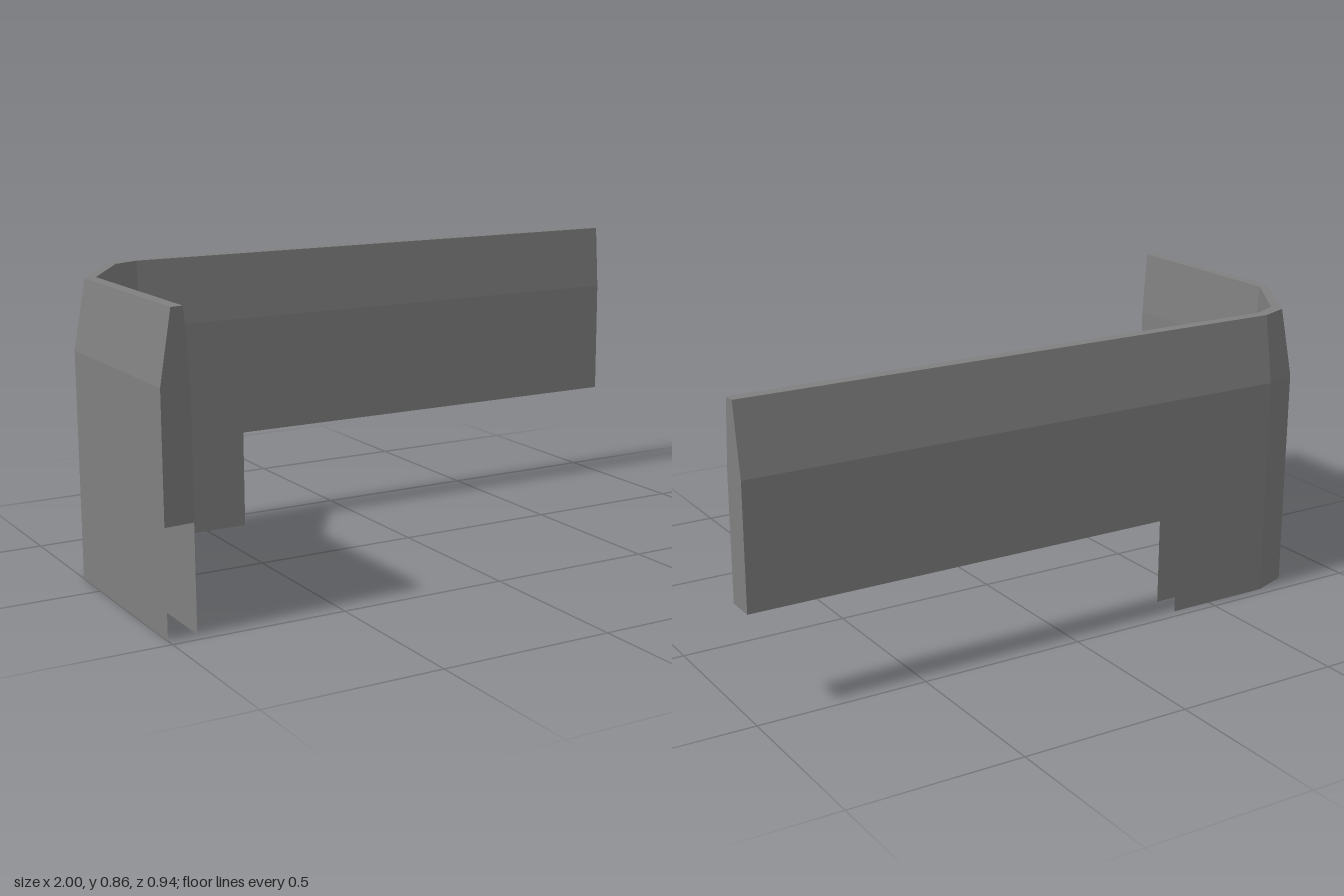
import * as THREE from 'three';

const BASE = 0, STEP = 0.3, BEND = 0.66, TOP = 0.86;
const NOTCH = 4; // station where the lower skirt ends

// Plan stations [x, z] from the front tip, round the corner, to the far end
const plan = {
  outer: [[-1, 0.47], [-1, -0.13], [-0.81, -0.43], [-0.7, -0.47], [-0.37, -0.47], [1, -0.47]],
  outerTop: [[-0.965, 0.467], [-0.965, -0.125], [-0.79, -0.4], [-0.7, -0.436], [-0.37, -0.436], [1, -0.436]],
  inner: [[-0.915, 0.462], [-0.915, -0.13], [-0.77, -0.35], [-0.7, -0.385], [-0.37, -0.385], [1, -0.385]],
  innerTop: [[-0.93, 0.463], [-0.93, -0.13], [-0.78, -0.362], [-0.7, -0.4], [-0.37, -0.4], [1, -0.4]],
};

// Point of one skin at station i and height y (leans inward above BEND)
function point(skin, i, y) {
  const [x, z] = (y === TOP ? plan[skin + 'Top'] : plan[skin])[i];
  return [x, y, z];
}

// Flat-shaded mesh from four-cornered faces
function quadMesh(name, quads, material) {
  const positions = [];
  for (const [a, b, c, d] of quads) positions.push(...a, ...b, ...c, ...a, ...c, ...d);
  const geometry = new THREE.BufferGeometry();
  geometry.setAttribute('position', new THREE.Float32BufferAttribute(positions, 3));
  geometry.computeVertexNormals();
  const mesh = new THREE.Mesh(geometry, material);
  mesh.name = name;
  return mesh;
}

export function createModel() {
  const grey = new THREE.MeshStandardMaterial({ color: 0x808080, side: THREE.DoubleSide });
  grey.name = 'plain grey';

  const outerWall = [], innerWall = [], topRim = [], underside = [], frontCap = [], farCap = [];
  const last = plan.outer.length - 1;

  for (let i = 0; i < last; i++) {
    const j = i + 1;
    // Outer and inner skins, deeper before the notch
    const heights = i < NOTCH ? [BASE, STEP, BEND, TOP] : [STEP, BEND, TOP];
    for (let k = 0; k < heights.length - 1; k++) {
      const lo = heights[k], hi = heights[k + 1];
      outerWall.push([point('outer', j, lo), point('outer', i, lo), point('outer', i, hi), point('outer', j, hi)]);
      innerWall.push([point('inner', i, lo), point('inner', j, lo), point('inner', j, hi), point('inner', i, hi)]);
    }
    // Narrow rim joining the skins
    topRim.push([point('inner', i, TOP), point('inner', j, TOP), point('outer', j, TOP), point('outer', i, TOP)]);
    // Closed bottom only along the raised section; the corner skirt is hollow
    if (i >= NOTCH) {
      underside.push([point('outer', i, STEP), point('outer', j, STEP), point('inner', j, STEP), point('inner', i, STEP)]);
    }
  }

  // End caps, open below the step
  for (const [lo, hi] of [[STEP, BEND], [BEND, TOP]]) {
    frontCap.push([point('outer', 0, lo), point('inner', 0, lo), point('inner', 0, hi), point('outer', 0, hi)]);
    farCap.push([point('inner', last, lo), point('outer', last, lo), point('outer', last, hi), point('inner', last, hi)]);
  }

  const group = new THREE.Group();
  group.name = 'cornerPanel';
  const parts = { outerWall, innerWall, topRim, underside, frontCap, farCap };
  for (const [name, quads] of Object.entries(parts)) group.add(quadMesh(name, quads, grey));
  return group;
}
